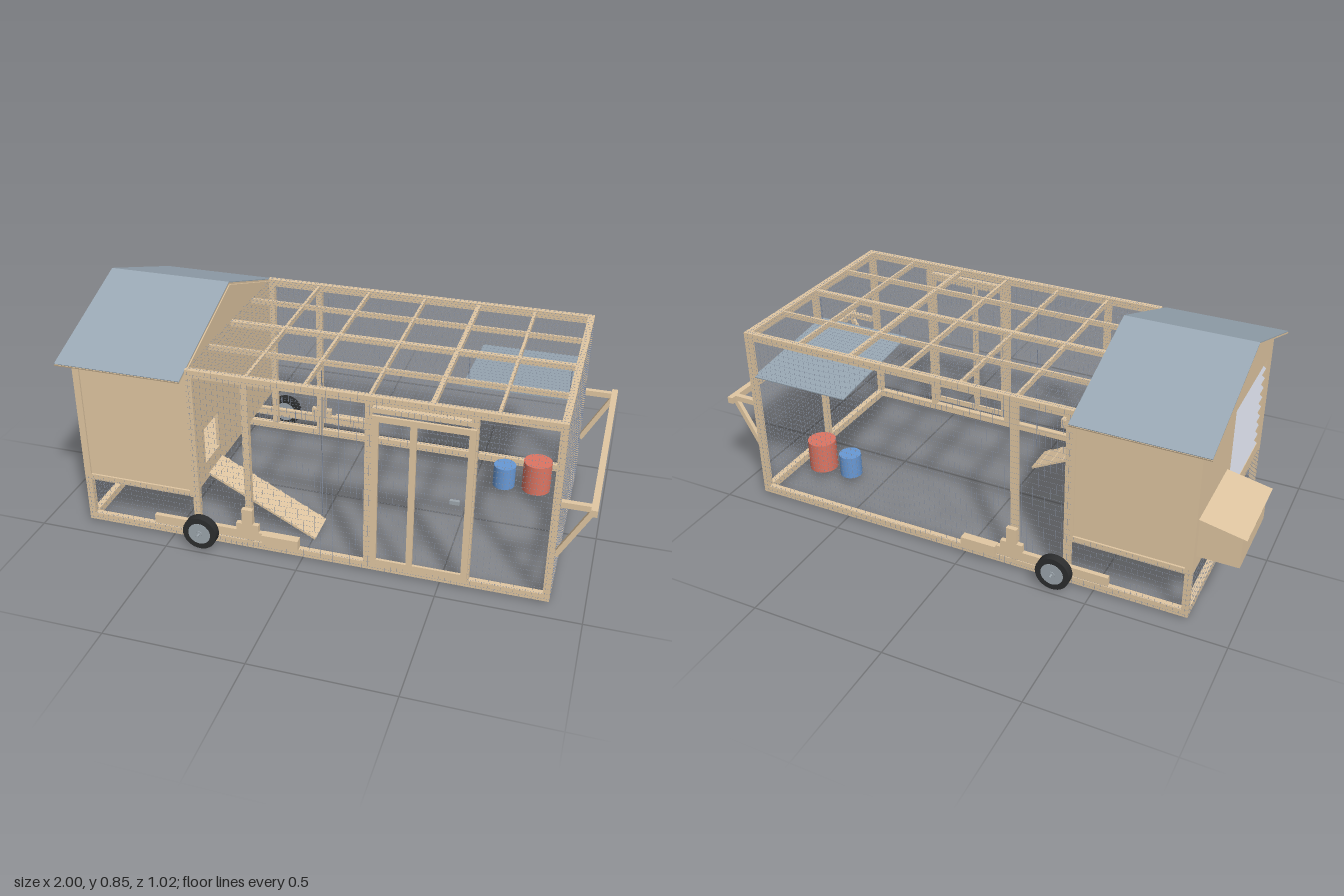
import * as THREE from 'three';
import { mergeGeometries } from 'three/addons/utils/BufferGeometryUtils.js';

const mat = (name, color) => {
  const m = new THREE.MeshStandardMaterial({ color });
  m.name = name;
  return m;
};

export function createModel() {
  const model = new THREE.Group();
  model.name = 'chickenTractor';
  const wood = mat('wood', 0xe2c8a3);
  const metal = mat('roofMetal', 0x99a8b4);
  const ventMat = mat('ventGrey', 0xc2c6d0);
  const wireMat = mat('wire', 0x8a94a6);
  const rubber = mat('rubber', 0x2c2d2e);
  const hubMat = mat('hub', 0x9da6ad);
  const red = mat('redPlastic', 0xde7562);
  const blue = mat('bluePlastic', 0x6899d6);

  const add = (name, geo, material, parent = model) => {
    const m = new THREE.Mesh(geo, material);
    m.name = name;
    parent.add(m);
    return m;
  };
  // Box geometry from its extents
  const boxGeo = (x0, x1, y0, y1, z0, z1) =>
    new THREE.BoxGeometry(x1 - x0, y1 - y0, z1 - z0).translate((x0 + x1) / 2, (y0 + y1) / 2, (z0 + z1) / 2);
  const box = (name, e, material = wood) => add(name, boxGeo(...e), material);
  // Plank in the x-y plane between two points
  const plank = (name, [xa, ya], [xb, yb], thick, z0, z1) => {
    const g = new THREE.BoxGeometry(Math.hypot(xb - xa, yb - ya), thick, z1 - z0);
    g.rotateZ(Math.atan2(yb - ya, xb - xa)).translate((xa + xb) / 2, (ya + yb) / 2, (z0 + z1) / 2);
    return add(name, g, wood);
  };
  const cyl = (name, r, h, x, y, z, material, seg = 24) =>
    add(name, new THREE.CylinderGeometry(r, r, h, seg).translate(x, y, z), material);

  // Main frame: rails and posts on both long sides
  for (const s of [-1, 1]) {
    const z0 = s > 0 ? 0.408 : -0.43, z1 = z0 + 0.022;
    box('bottomRail', [-0.84, 0.88, 0.012, 0.04, z0, z1]);
    box('topRail', [-0.41, 0.88, 0.675, 0.703, z0, z1]);
    for (const x of [-0.828, -0.398, -0.198, 0.868])
      box('post', [x - 0.012, x + 0.012, 0.04, 0.68, z0, z1]);
    box('houseSill', [-0.84, -0.386, 0.19, 0.212, z0, z1]);
  }
  for (const x of [-0.828, 0.868])
    box('endRail', [x - 0.012, x + 0.012, 0.012, 0.04, -0.41, 0.41]);
  box('endCentrePost', [0.858, 0.88, 0.04, 0.675, -0.01, 0.01]);
  box('topEndRail', [0.856, 0.88, 0.675, 0.703, -0.41, 0.41]);

  // Roof grid of the run
  for (const x of [-0.198, 0.01, 0.235, 0.445, 0.66]) {
    const w = x === 0.445 ? 0.008 : 0.005;
    box('crossBeam', [x - w, x + w, 0.678, 0.698, -0.41, 0.41]);
  }
  for (const z of [-0.215, 0, 0.215]) {
    const w = z === 0 ? 0.01 : 0.005;
    box('lengthBeam', [-0.41, 0.86, 0.68, 0.7, z - w, z + w]);
  }

  // Wire mesh panels, built on two axes (0 = x, 1 = y, 2 = z) at a fixed third coordinate
  const T = 0.0005, STEP = 0.0214;
  const meshPanel = (name, a, a0, a1, b, b0, b1, at) => {
    const c = 3 - a - b, parts = [];
    const strand = (along, lo, hi, across, v) => {
      const e = [];
      e[along] = [lo, hi];
      e[across] = [v - T / 2, v + T / 2];
      e[c] = [at - T / 2, at + T / 2];
      parts.push(boxGeo(...e.flat()));
    };
    for (let v = a0 + STEP / 2; v < a1; v += STEP) strand(b, b0, b1, a, v);
    for (let v = b0 + STEP / 2; v < b1; v += STEP) strand(a, a0, a1, b, v);
    add(name, mergeGeometries(parts), wireMat);
  };
  for (const s of [-1, 1]) {
    meshPanel('sideMesh', 0, -0.41, 0.88, 1, 0.012, 0.7, s * 0.431);
    meshPanel('underHouseMesh', 0, -0.84, -0.41, 1, 0.012, 0.21, s * 0.431);
  }
  meshPanel('endMesh', 2, -0.43, 0.43, 1, 0.012, 0.7, 0.881);
  meshPanel('houseEndMesh', 2, -0.43, 0.43, 1, 0.012, 0.2, -0.841);
  meshPanel('topMesh', 0, -0.41, 0.88, 2, -0.43, 0.43, 0.704);

  // Hen house: gable walls with openings, side walls, floor
  const gable = (name, xMax, [z0, z1, y0, y1]) => {
    const s = new THREE.Shape([[-0.43, 0.188], [0.43, 0.188], [0.43, 0.685], [0, 0.841], [-0.43, 0.685]]
      .map(p => new THREE.Vector2(...p)));
    s.holes.push(new THREE.Path([[z0, y0], [z0, y1], [z1, y1], [z1, y0]].map(p => new THREE.Vector2(...p))));
    const g = new THREE.ExtrudeGeometry(s, { depth: 0.012, bevelEnabled: false });
    add(name, g.rotateY(-Math.PI / 2).translate(xMax, 0, 0), wood);
  };
  gable('popDoorWall', -0.408, [0.175, 0.305, 0.26, 0.4]);
  gable('ventWall', -0.829, [-0.05, 0.36, 0.25, 0.61]);
  for (const s of [-1, 1])
    box('houseSideWall', [-0.83, -0.41, 0.2, 0.685, s * 0.418 - 0.005, s * 0.418 + 0.005]);
  box('houseFloor', [-0.83, -0.415, 0.208, 0.216, -0.415, 0.415]);
  for (let i = 0; i < 4; i++) {
    const x = -0.78 + i * 0.105;
    box('floorJoist', [x - 0.01, x + 0.01, 0.19, 0.209, -0.41, 0.41]);
  }

  // Louvred vent on the house end
  for (let i = 0; i < 9; i++) {
    const g = new THREE.BoxGeometry(0.003, 0.062, 0.41);
    g.rotateZ(-0.85).translate(-0.815, 0.27 + i * 0.04, 0.155);
    add('ventSlat', g, ventMat);
  }

  // Pitched roof: thin metal over wooden sheathing
  const pitch = Math.atan2(0.173, 0.475), slope = Math.hypot(0.173, 0.475);
  const roofLayer = (name, s, thick, y, material) => {
    const g = new THREE.BoxGeometry(0.47, thick, slope);
    add(name, g.rotateX(s * pitch).translate(-0.645, y, s * 0.2375), material);
  };
  for (const s of [-1, 1]) {
    roofLayer('roofPanel', s, 0.003, 0.765, metal);
    roofLayer('roofSheathing', s, 0.006, 0.7602, wood);
  }

  // Nest box with a sloping lid
  const nest = new THREE.Shape([[-0.985, 0.25], [-0.84, 0.25], [-0.84, 0.397], [-0.985, 0.368]]
    .map(p => new THREE.Vector2(...p)));
  add('nestBox', new THREE.ExtrudeGeometry(nest, { depth: 0.3, bevelEnabled: false }).translate(0, 0, -0.4), wood);
  plank('nestLid', [-1, 0.367], [-0.84, 0.4], 0.006, -0.41, -0.09);

  // Ramp with cleats and its pull cord
  plank('ramp', [-0.4, 0.215], [0.01, 0.005], 0.008, 0.175, 0.305);
  for (let i = 0; i < 8; i++) {
    const t = (i + 0.5) / 8, x = -0.398 + 0.41 * t, y = 0.22 - 0.21 * t;
    plank('rampCleat', [x - 0.005, y + 0.0026], [x + 0.005, y - 0.0026], 0.005, 0.176, 0.304);
  }
  cyl('rampCord', 0.0018, 0.6, 0.018, 0.37, 0.238, wireMat, 6);

  // Entrance door with its posts and latch
  for (const x of [0.238, 0.59])
    box('doorPost', [x - 0.012, x + 0.012, 0.04, 0.68, 0.408, 0.43]);
  box('doorHeader', [0.25, 0.58, 0.645, 0.662, 0.408, 0.43]);
  for (const x of [0.264, 0.393, 0.586])
    box('doorStile', [x - 0.011, x + 0.011, 0.04, 0.64, 0.432, 0.442]);
  for (const y of [0.045, 0.618])
    box('doorRail', [0.253, 0.597, y, y + 0.022, 0.432, 0.442]);
  box('doorLatch', [0.525, 0.558, 0.354, 0.368, 0.44, 0.452], hubMat);

  // Pull handle on the far end
  box('handleBar', [0.978, 1, 0.38, 0.405, -0.43, 0.43]);
  for (const s of [-1, 1]) {
    const z = s * 0.4;
    box('handleArm', [0.88, 0.98, 0.384, 0.405, z - 0.01, z + 0.01]);
    plank('handleBrace', [0.88, 0.19], [0.985, 0.383], 0.018, z - 0.008, z + 0.008);
  }

  // Wheel carriage: lever board, upright, wheel and axle stub
  for (const s of [-1, 1]) {
    const sideBox = (name, x0, x1, y0, y1, d) =>
      box(name, [x0, x1, y0, y1, Math.min(s * 0.432, s * d), Math.max(s * 0.432, s * d)]);
    sideBox('leverBoard', -0.56, -0.005, 0.06, 0.095, 0.449);
    sideBox('leverGrip', -0.14, -0.005, 0.058, 0.097, 0.463);
    sideBox('leverUpright', -0.218, -0.178, 0.095, 0.185, 0.45);
    sideBox('leverFoot', -0.24, -0.156, 0.09, 0.125, 0.45);
    const wheel = new THREE.Group();
    wheel.name = 'wheel';
    wheel.position.set(-0.37, 0.074, s * 0.471);
    const disc = (name, r, w, material, seg) =>
      add(name, new THREE.CylinderGeometry(r, r, w, seg).rotateX(Math.PI / 2), material, wheel);
    disc('tyre', 0.064, 0.031, rubber, 32);
    disc('hubDisc', 0.042, 0.034, hubMat, 28);
    disc('hubCap', 0.012, 0.04, hubMat, 16);
    disc('axle', 0.005, 0.074, hubMat, 12);
    model.add(wheel);
  }

  // Tilted shelter sheet and its hangers
  const sheet = new THREE.BoxGeometry(0.392, 0.004, 0.45);
  sheet.rotateX(-Math.atan2(0.047, 0.45)).translate(0.667, 0.547, -0.205);
  add('shelterSheet', sheet, metal);
  for (const x of [0.49, 0.845]) cyl('shelterHanger', 0.002, 0.11, x, 0.622, 0, wireMat, 6);

  // Feed and water drums
  cyl('redDrum', 0.055, 0.122, 0.745, 0.103, -0.215, red, 28);
  cyl('blueDrum', 0.043, 0.09, 0.62, 0.085, -0.21, blue, 28);
  return model;
}
